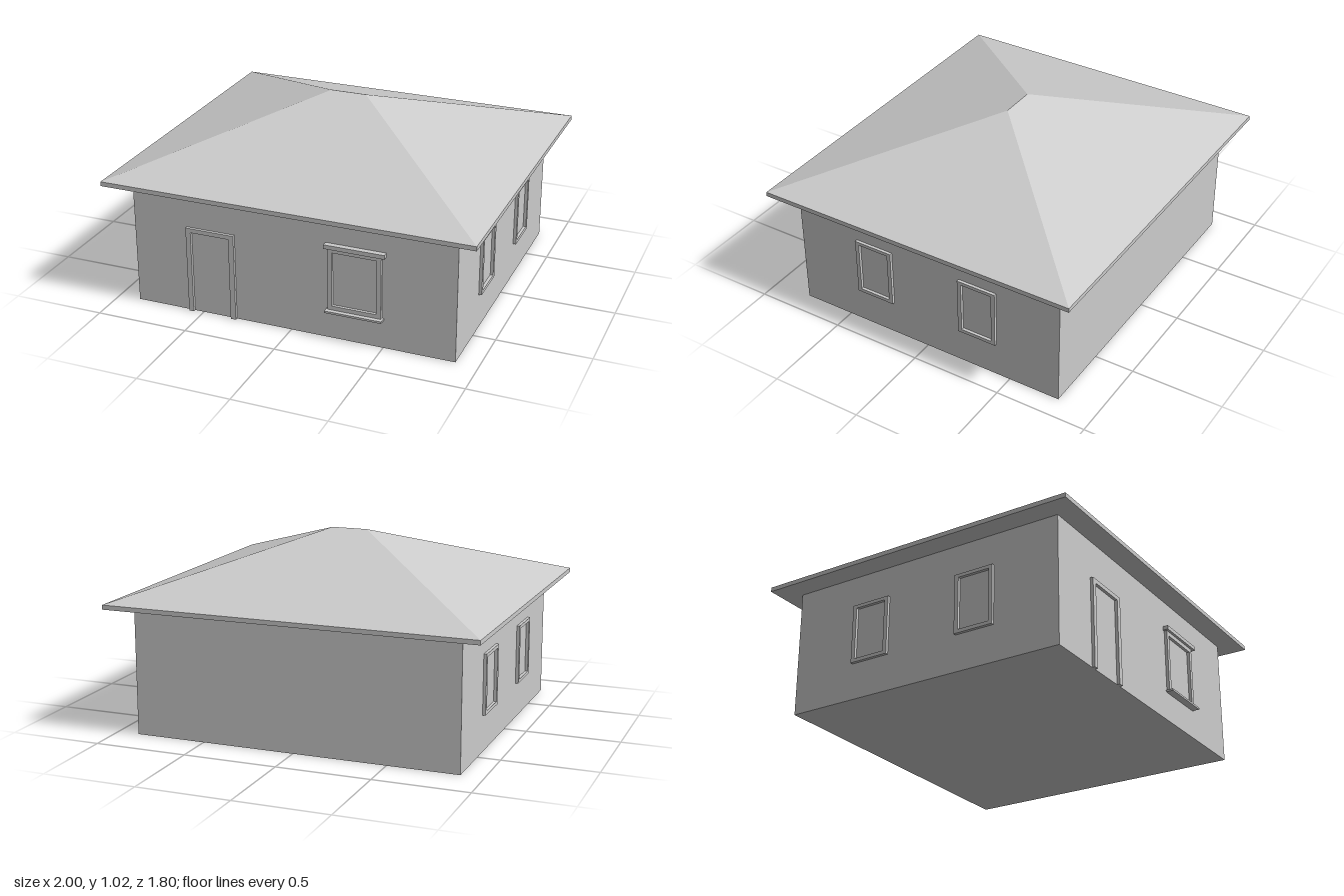
import * as THREE from 'three';

export function createModel() {
  const house = new THREE.Group();
  house.name = 'house';
  const plaster = new THREE.MeshStandardMaterial({ color: 0xcccccc });
  plaster.name = 'light grey';

  const add = (name, geometry, parent = house) => {
    const mesh = new THREE.Mesh(geometry, plaster);
    mesh.name = name;
    parent.add(mesh);
    return mesh;
  };

  // Box given by its two opposite corners
  const block = (name, [x0, y0, z0], [x1, y1, z1], parent) =>
    add(name, new THREE.BoxGeometry(x1 - x0, y1 - y0, z1 - z0), parent)
      .position.set((x0 + x1) / 2, (y0 + y1) / 2, (z0 + z1) / 2);

  const rectangle = (Path, x0, y0, x1, y1) => new Path([
    new THREE.Vector2(x0, y0), new THREE.Vector2(x1, y0),
    new THREE.Vector2(x1, y1), new THREE.Vector2(x0, y1),
  ]);
  const extrude = (shape, depth) =>
    new THREE.ExtrudeGeometry(shape, { depth, bevelEnabled: false });

  const wallX = 0.88, wallZ = 0.785, wallTop = 0.684, trim = 0.016;

  // Walls and eaves slab
  block('walls', [-wallX, 0, -wallZ], [wallX, wallTop, wallZ]);
  const eaveX = 1, eaveZ = 0.9, eaveTop = 0.708;
  block('eaves', [-eaveX, wallTop, -eaveZ], [eaveX, eaveTop, eaveZ]);

  // Hipped roof: two trapezoids and two triangles meeting at a short ridge
  const ridgeX = 0.098, ridgeY = 1.022;
  const fl = [-eaveX, eaveTop, eaveZ], fr = [eaveX, eaveTop, eaveZ];
  const bl = [-eaveX, eaveTop, -eaveZ], br = [eaveX, eaveTop, -eaveZ];
  const rl = [-ridgeX, ridgeY, 0], rr = [ridgeX, ridgeY, 0];
  const triangles = [
    fl, fr, rr, fl, rr, rl, // front slope
    br, bl, rl, br, rl, rr, // back slope
    fr, br, rr,             // +x hip
    bl, fl, rl,             // -x hip
  ];
  const roof = new THREE.BufferGeometry();
  roof.setAttribute('position', new THREE.Float32BufferAttribute(triangles.flat(), 3));
  roof.computeVertexNormals();
  add('roof', roof);

  // Door surround, open at the ground
  const surround = new THREE.Shape([
    [-0.578, 0], [-0.551, 0], [-0.551, 0.456], [-0.337, 0.456],
    [-0.337, 0], [-0.308, 0], [-0.308, 0.479], [-0.578, 0.479],
  ].map(([x, y]) => new THREE.Vector2(x, y)));
  add('doorFrame', extrude(surround, trim)).position.z = wallZ;

  // Front window with lintel and sill
  const frontWindow = new THREE.Group();
  frontWindow.name = 'frontWindow';
  house.add(frontWindow);
  const frontFrame = rectangle(THREE.Shape, 0.206, 0.163, 0.492, 0.51);
  frontFrame.holes.push(rectangle(THREE.Path, 0.23, 0.19, 0.468, 0.486));
  add('windowFrame', extrude(frontFrame, trim), frontWindow).position.z = wallZ;
  block('lintel', [0.192, 0.509, wallZ], [0.513, 0.531, 0.815], frontWindow);
  block('sill', [0.198, 0.157, wallZ], [0.503, 0.168, 0.825], frontWindow);

  // Two framed windows on each side wall
  const sideFrame = rectangle(THREE.Shape, -0.11, 0.196, 0.11, 0.515);
  sideFrame.holes.push(rectangle(THREE.Path, -0.088, 0.215, 0.088, 0.497));
  const sideGeometry = extrude(sideFrame, trim);
  for (const side of [-1, 1]) {
    for (const z of [0.314, -0.313]) {
      const frame = add(side > 0 ? 'leftWindowFrame' : 'rightWindowFrame', sideGeometry);
      frame.position.set(side * wallX, 0, z);
      frame.rotation.y = side * Math.PI / 2;
    }
  }

  return house;
}
